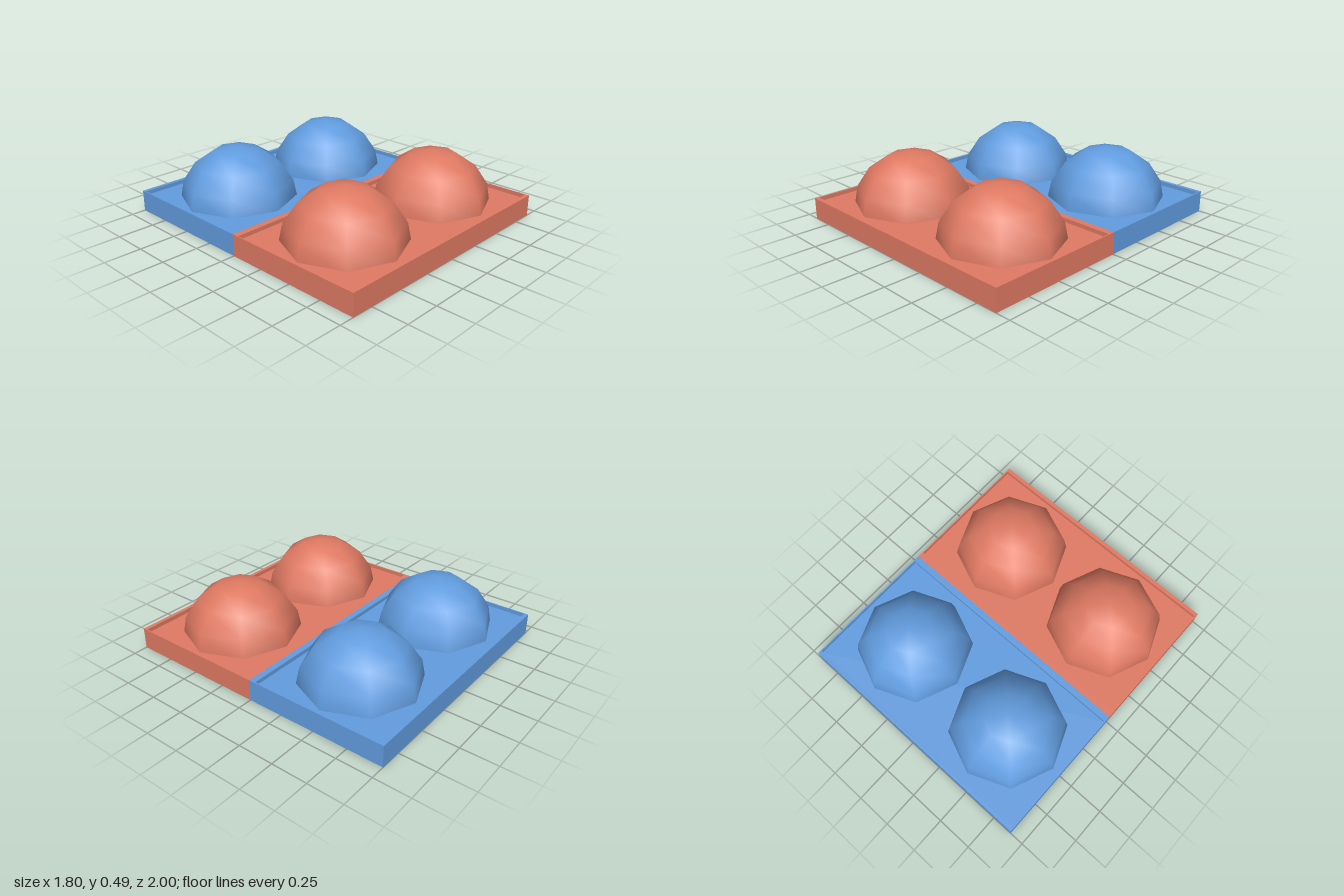
import * as THREE from 'three';

const HEIGHT = 0.15, FLOOR_TOP = 0.122, FLOOR_BOTTOM = 0.03;
const CENTRE_Z = 0.508;

function rectangle(path, x, z0, z1) {
  path.moveTo(-x, z0);
  path.lineTo(x, z0);
  path.lineTo(x, z1);
  path.lineTo(-x, z1);
  path.closePath();
  return path;
}

// One half of the tray, built for the +z side
function createHalf(name, color) {
  const half = new THREE.Group();
  half.name = name;
  const material = new THREE.MeshStandardMaterial({ color });

  const add = (part, geometry, x, y, z) => {
    const mesh = new THREE.Mesh(geometry, material);
    mesh.name = part;
    mesh.position.set(x, y, z);
    half.add(mesh);
  };

  // Thin upright rim around the opening (shape y becomes -z)
  const outline = rectangle(new THREE.Shape(), 0.9, -1, 0);
  outline.holes.push(rectangle(new THREE.Path(), 0.892, -0.972, -0.045));
  const rim = new THREE.ExtrudeGeometry(outline, { depth: HEIGHT, bevelEnabled: false });
  rim.rotateX(-Math.PI / 2);
  add('rim', rim, 0, 0, 0);

  // Panel recessed from both the top and the underside
  const panel = new THREE.BoxGeometry(1.784, FLOOR_TOP - FLOOR_BOTTOM, 0.927);
  add('panel', panel, 0, (FLOOR_TOP + FLOOR_BOTTOM) / 2, CENTRE_Z);

  // Two eight-sided, smooth domes sunk slightly into the panel
  const dome = new THREE.SphereGeometry(0.413, 8, 4, 0, Math.PI * 2, 0, Math.PI / 2);
  for (const side of [-1, 1]) {
    add(side > 0 ? 'leftDome' : 'rightDome', dome, side * 0.436, 0.077, CENTRE_Z);
  }
  return half;
}

export function createModel() {
  const model = new THREE.Group();
  model.name = 'domedTray';
  const front = createHalf('frontHalf', 0xe07a63);
  const back = createHalf('backHalf', 0x629de0);
  back.rotation.y = Math.PI;
  // The half turn swaps the sides of the back domes
  const [a, b] = back.children.filter((c) => c.name.endsWith('Dome'));
  [a.name, b.name] = [b.name, a.name];
  model.add(front, back);
  return model;
}
